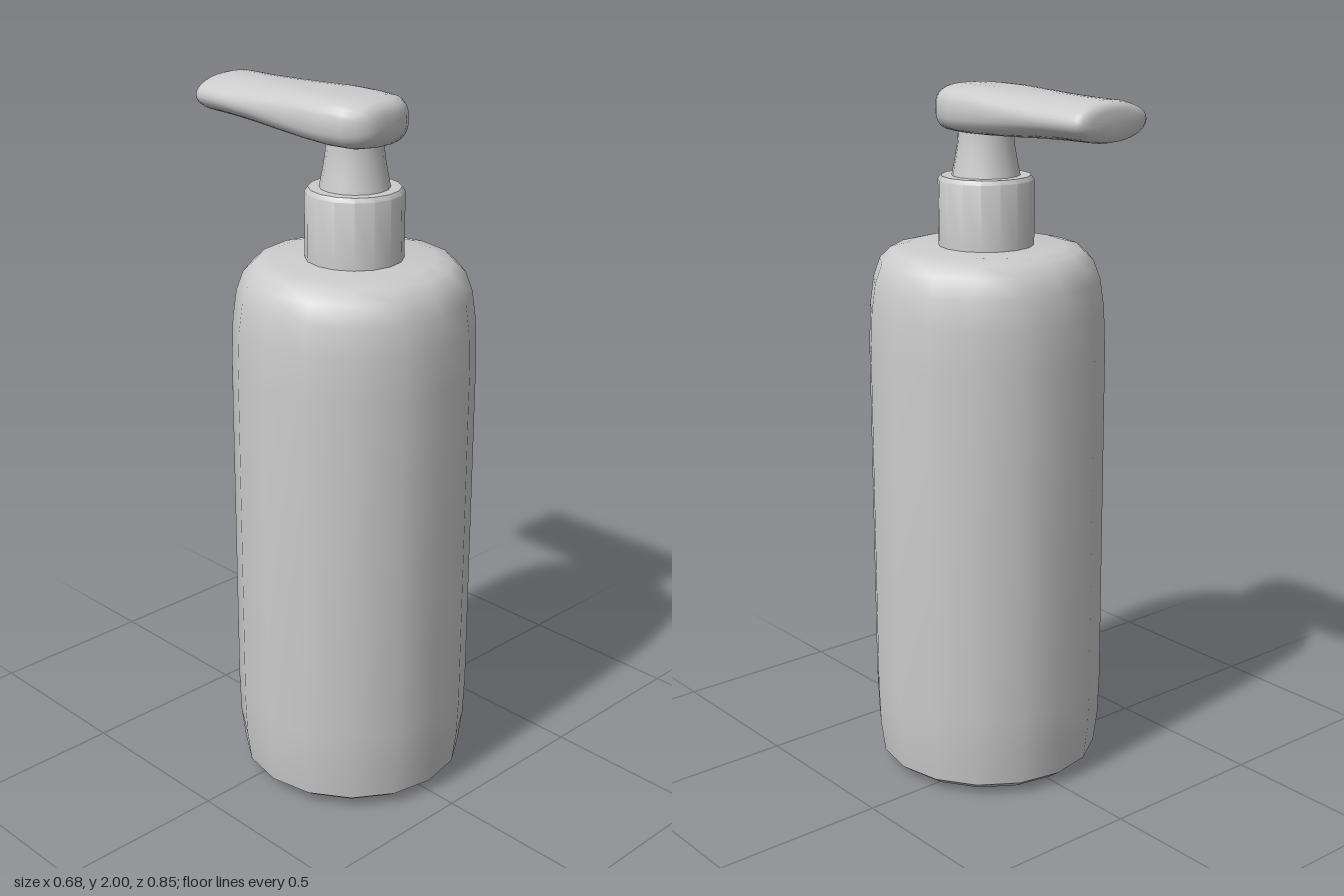
import * as THREE from 'three';
import { toCreasedNormals } from 'three/addons/utils/BufferGeometryUtils.js';

const SIDES = 16;
const AXIS_Z = 0.088; // bottle axis, offset so the whole model is centred

function createMesh(name, geometry, crease) {
  const material = new THREE.MeshStandardMaterial({ color: 0xcccccc, side: THREE.DoubleSide });
  const mesh = new THREE.Mesh(toCreasedNormals(geometry, crease), material);
  mesh.name = name;
  return mesh;
}

// Turned part from [radius, y] pairs, listed bottom to top
function turned(name, profile, crease = 0.7) {
  const points = profile.map(([r, y]) => new THREE.Vector2(r, y));
  const mesh = createMesh(name, new THREE.LatheGeometry(points, SIDES), crease);
  mesh.position.z = AXIS_Z;
  return mesh;
}

// Loft of superellipse sections [z, halfWidth, yBottom, yTop, exponent], front to back
function loft(sections, n) {
  const positions = [];
  const index = [];
  for (const [z, w, y0, y1, e] of sections) {
    for (let i = 0; i < n; i++) {
      const a = (i / n) * Math.PI * 2;
      const c = Math.cos(a);
      const s = Math.sin(a);
      positions.push(
        w * Math.sign(c) * Math.abs(c) ** (2 / e),
        (y0 + y1) / 2 + ((y1 - y0) / 2) * Math.sign(s) * Math.abs(s) ** (2 / e),
        z
      );
    }
  }
  const last = sections.length - 1;
  for (let k = 0; k < last; k++) {
    for (let i = 0; i < n; i++) {
      const j = (i + 1) % n;
      const a = k * n + i, b = k * n + j;
      index.push(a, a + n, b, b, a + n, b + n);
    }
  }
  // End caps
  for (const k of [0, last]) {
    const [z, , y0, y1] = sections[k];
    const centre = positions.length / 3;
    positions.push(0, (y0 + y1) / 2, z);
    for (let i = 0; i < n; i++) {
      const a = k * n + i, b = k * n + ((i + 1) % n);
      if (k === 0) index.push(centre, a, b);
      else index.push(centre, b, a);
    }
  }
  const geometry = new THREE.BufferGeometry();
  geometry.setAttribute('position', new THREE.Float32BufferAttribute(positions, 3));
  geometry.setIndex(index);
  return geometry;
}

export function createModel() {
  const model = new THREE.Group();
  model.name = 'soapDispenser';

  // Bottle with chamfered foot and rounded shoulder
  model.add(turned('bottle', [
    [0, 0], [0.14, 0.004], [0.29, 0.012], [0.322, 0.036], [0.334, 0.13], [0.338, 0.25],
    [0.338, 1.26], [0.333, 1.38], [0.322, 1.46], [0.302, 1.515], [0.27, 1.545],
    [0.225, 1.556], [0, 1.556],
  ]));

  // Screw collar with a fine bevel on its rim
  model.add(turned('collar', [
    [0.135, 1.545], [0.135, 1.738], [0.126, 1.75], [0, 1.75],
  ]));

  // Flared pump stem
  model.add(turned('pumpStem', [
    [0.097, 1.745], [0.088, 1.79], [0.081, 1.83], [0.077, 1.87], [0.077, 1.9],
  ]));

  // Pump head: round pill over the stem, flattening to a lens-shaped spout
  const head = loft([
    [0.215, 0.045, 1.908, 1.962, 2.4],
    [0.208, 0.070, 1.888, 1.981, 2.6],
    [0.190, 0.096, 1.874, 1.993, 2.8],
    [0.155, 0.121, 1.867, 1.999, 3.0],
    [0.088, 0.134, 1.866, 2.000, 3.0],
    [0.000, 0.134, 1.868, 2.000, 2.9],
    [-0.100, 0.131, 1.871, 1.997, 2.5],
    [-0.200, 0.129, 1.876, 1.994, 2.2],
    [-0.300, 0.128, 1.879, 1.992, 2.0],
    [-0.395, 0.127, 1.881, 1.991, 2.0],
    [-0.414, 0.122, 1.885, 1.987, 2.0],
    [-0.424, 0.108, 1.894, 1.979, 2.0],
    [-0.428, 0.080, 1.908, 1.966, 2.0],
  ], 32);
  model.add(createMesh('pumpHead', head, 1.0));

  return model;
}
